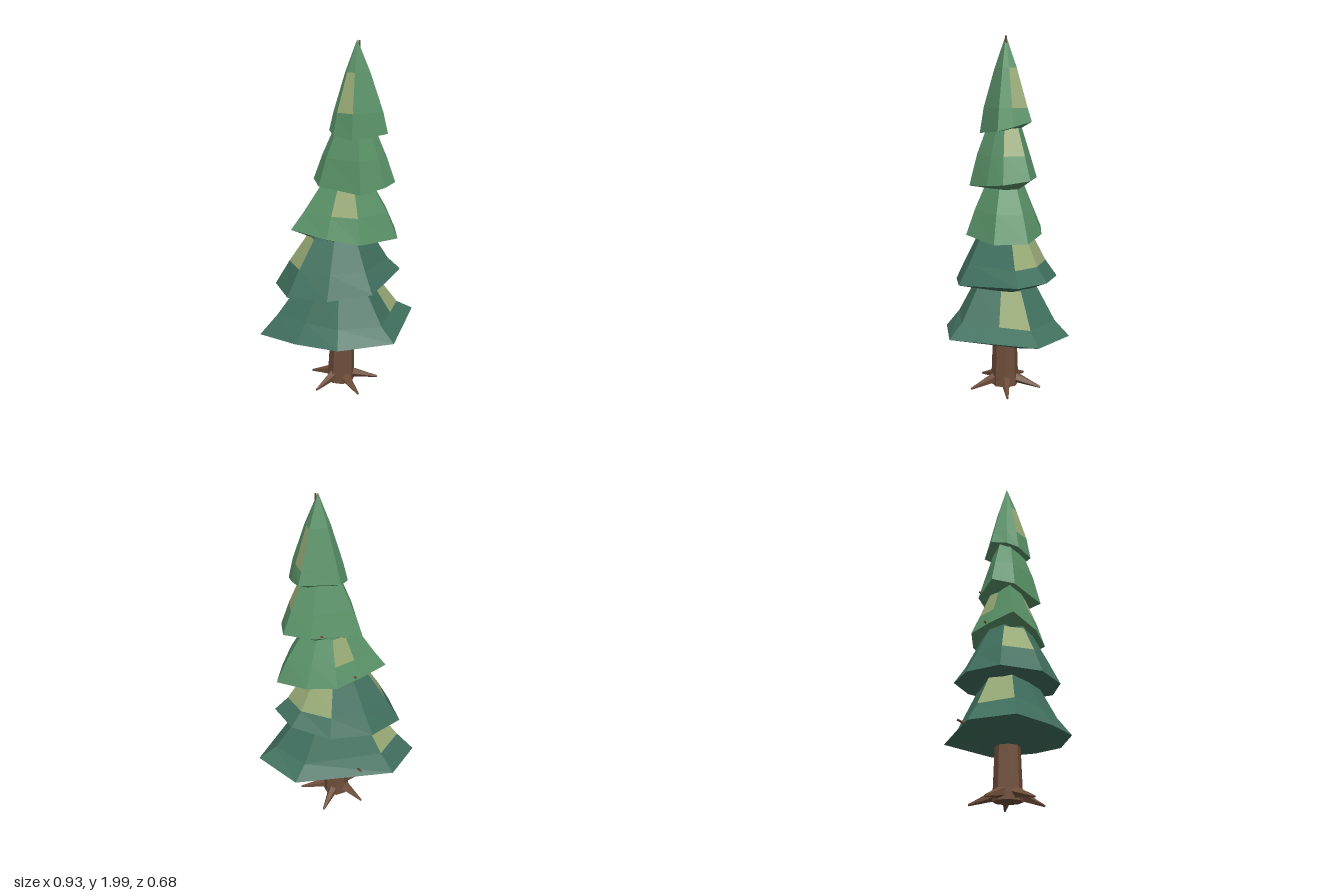
import * as THREE from 'three';

const flat = (color) => new THREE.MeshStandardMaterial({ color, flatShading: true });
const darkGreen = flat(0x41705f);
const lightGreen = flat(0x5a9268);
const paleGreen = flat(0x98aa76);
const bark = flat(0x6f4e3a);

function facetMesh(points, material, name) {
  const geometry = new THREE.BufferGeometry();
  geometry.setAttribute('position', new THREE.Float32BufferAttribute(points, 3));
  geometry.computeVertexNormals();
  const mesh = new THREE.Mesh(geometry, material);
  mesh.name = name;
  return mesh;
}

// Skirt whose upper slope narrows in two steps, closed inside the tier above
const skirt = (mid, top) => [[mid, 0.78], [top, 0.5], [top + 0.08, 0.38], [top + 0.09, 0]];

// A tier has an uneven rim of [x, z] points on a tilted plane, rings scaled about
// its axis, and a few paler facets in the chosen sectors.
function makeTier(name, material, { axis, under, plane, rings, pale, rim }) {
  const [y0, tiltX, tiltZ] = plane;
  const ring = ([y, s]) => rim.map(([x, z]) => [axis + (x - axis) * s, y, z * s]);
  const edge = rim.map(([x, z]) => [x, y0 + tiltX * x + tiltZ * z, z]);
  // Loops run from the underside centre, out to the rim, then up to the tip
  const loops = [ring([under, 0]), ring([under, 0.5]), edge, ...rings.map(ring)];
  const body = [], patches = [];
  for (let k = 0; k < loops.length - 1; k++) {
    for (let i = 0; i < rim.length; i++) {
      const j = (i + 1) % rim.length;
      const [a, b, c, d] = [loops[k][i], loops[k][j], loops[k + 1][j], loops[k + 1][i]];
      const out = k === 3 && pale.includes(i) ? patches : body;
      if (k < loops.length - 2) out.push(...a, ...d, ...c);
      if (k > 0) out.push(...a, ...c, ...b);
    }
  }
  const group = new THREE.Group();
  group.name = name;
  group.add(facetMesh(body, material, 'foliage'), facetMesh(patches, paleGreen, 'paleFacets'));
  return group;
}

// Tapered stick between two points
function makeStick(name, from, to, r0, r1) {
  const a = new THREE.Vector3(...from), b = new THREE.Vector3(...to);
  const dir = b.clone().sub(a);
  const mesh = new THREE.Mesh(new THREE.CylinderGeometry(r1, r0, dir.length(), 5), bark);
  mesh.position.copy(a).add(b).multiplyScalar(0.5);
  mesh.quaternion.setFromUnitVectors(new THREE.Vector3(0, 1, 0), dir.normalize());
  mesh.name = name;
  return mesh;
}

// Trunk runs the full height and leans gently towards +x
function makeTrunk() {
  const geometry = new THREE.CylinderGeometry(0.005, 0.08, 1.98, 8, 6);
  geometry.translate(0, 1.005, 0);
  const p = geometry.attributes.position;
  for (let i = 0; i < p.count; i++) {
    p.setX(i, p.getX(i) + 0.008 + 0.1 * Math.pow(p.getY(i) / 2, 1.3));
  }
  const mesh = new THREE.Mesh(geometry, bark);
  mesh.name = 'trunk';
  return mesh;
}

export function createModel() {
  const tree = new THREE.Group();
  tree.name = 'pineTree';
  tree.add(makeTrunk());

  // Roots splayed around the foot
  for (let i = 0; i < 5; i++) {
    const angle = i * Math.PI * 0.4;
    const x = 0.02 + 0.21 * Math.cos(angle), z = 0.21 * Math.sin(angle);
    tree.add(makeStick('root', [x * 0.2, 0.06, z * 0.2], [x, 0.012, z], 0.034, 0.006));
  }

  // Foliage tiers from the ground up
  tree.add(makeTier('bottomTier', darkGreen, {
    axis: 0, under: 0.305, plane: [0.36, 0.06, 0], rings: skirt(0.45, 0.63), pale: [0, 3],
    rim: [[-0.465, 0.01], [-0.33, -0.22], [0.24, -0.34], [0.465, -0.145],
      [0.375, 0.065], [0.265, 0.32], [-0.05, 0.335], [-0.27, 0.195]],
  }));
  tree.add(makeTier('lowerTier', darkGreen, {
    axis: 0.01, under: 0.612, plane: [0.648, 0.09, -0.05], rings: skirt(0.76, 0.92), pale: [2, 3, 7],
    rim: [[-0.365, -0.065], [-0.2, -0.23], [0.04, -0.295], [0.26, -0.21],
      [0.365, -0.045], [0.15, 0.265], [-0.1, 0.275], [-0.31, 0.155]],
  }));
  tree.add(makeTier('middleTier', lightGreen, {
    axis: 0.05, under: 0.893, plane: [0.94, -0.08, -0.05], rings: skirt(1.06, 1.2), pale: [1, 6],
    rim: [[-0.275, 0.01], [-0.135, -0.11], [0, -0.205], [0.17, -0.19],
      [0.34, -0.1], [0.32, 0.08], [0.09, 0.22], [-0.09, 0.15]],
  }));
  tree.add(makeTier('upperTier', lightGreen, {
    axis: 0.085, under: 1.185, plane: [1.22, 0.03, -0.13], rings: skirt(1.37, 1.52), pale: [2],
    rim: [[-0.135, -0.1], [0.14, -0.165], [0.29, -0.115], [0.31, 0.03],
      [0.24, 0.11], [0.09, 0.2], [-0.12, 0.03]],
  }));
  tree.add(makeTier('topTier', lightGreen, {
    axis: 0.095, under: 1.505, plane: [1.515, 0, -0.25], pale: [2, 5],
    rings: [[1.62, 0.84], [1.83, 0.42], [2, 0]],
    rim: [[-0.055, -0.01], [-0.02, -0.1], [0.2, -0.13], [0.24, -0.03],
      [0.26, 0.055], [0.05, 0.14], [-0.04, 0.06]],
  }));

  // Twig ends poking out at the back
  for (const [x, y, z] of [[-0.14, 0.4, -0.27], [-0.105, 0.98, -0.138], [0.088, 1.26, -0.162]]) {
    tree.add(makeStick('twig', [x * 0.7, y - 0.03, z * 0.7], [x, y, z], 0.008, 0.006));
  }
  return tree;
}
